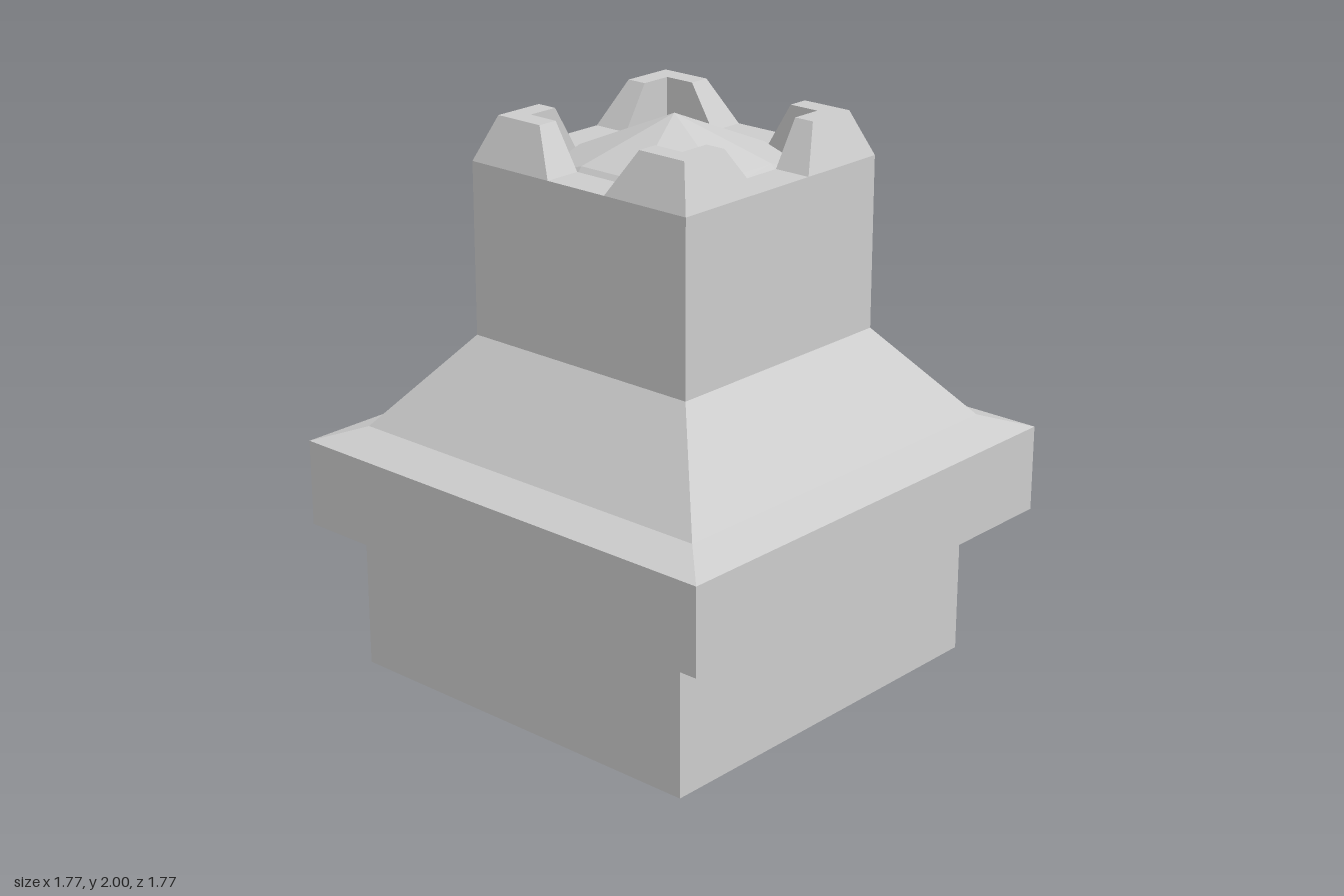
import * as THREE from 'three';

const material = new THREE.MeshStandardMaterial({ color: 0xcccccc, flatShading: true });

// Joins rings of [x, y, z] points (counter-clockwise from above, lowest first), with optional flat caps.
function loft(name, rings, { bottom = false, top = false } = {}) {
  const n = rings[0].length;
  const index = [];
  for (let r = 0; r < rings.length - 1; r++) {
    for (let i = 0; i < n; i++) {
      const j = (i + 1) % n;
      const a = r * n + i, b = r * n + j;
      index.push(a, b, b + n, a, b + n, a + n);
    }
  }
  const cap = (ring, offset, flip) => {
    const outline = ring.map(([x, , z]) => new THREE.Vector2(x, -z));
    for (const [a, b, c] of THREE.ShapeUtils.triangulateShape(outline, [])) {
      index.push(offset + a, offset + (flip ? c : b), offset + (flip ? b : c));
    }
  };
  if (bottom) cap(rings[0], 0, true);
  if (top) cap(rings.at(-1), (rings.length - 1) * n, false);

  const indexed = new THREE.BufferGeometry();
  indexed.setAttribute('position', new THREE.Float32BufferAttribute(rings.flat(2), 3));
  indexed.setIndex(index);
  const geometry = indexed.toNonIndexed();
  geometry.computeVertexNormals();
  const mesh = new THREE.Mesh(geometry, material);
  mesh.name = name;
  return mesh;
}

const square = (h, y) => [[h, y, h], [h, y, -h], [-h, y, -h], [-h, y, h]];

// Base outline with a doorway recess in the back: half width w, front and back z, recess half width n and depth z
const baseRing = (y, w, front, back, n, d) => [
  [w, y, front], [w, y, back], [n, y, back], [n, y, d],
  [-n, y, d], [-n, y, back], [-w, y, back], [-w, y, front],
];

// L-shaped corner battlement: outer face o, arm end a, inner face i
const merlonRing = (y, o, a, i) => [
  [o, y, o], [o, y, a], [i, y, a], [i, y, i], [a, y, i], [a, y, o],
];

// Square roof ring with two extra points on each side
function roofRing(h, m, yCorner, yMid) {
  const ring = [];
  let side = [[h, yCorner, h], [h, yMid, m], [h, yMid, -m]];
  for (let k = 0; k < 4; k++) {
    ring.push(...side);
    side = side.map(([x, y, z]) => [z, y, -x]);
  }
  return ring;
}

export function createModel() {
  const model = new THREE.Group();
  model.name = 'tower';

  // Base with flared top and rear doorway
  model.add(loft('base', [
    baseRing(0, 0.74, 0.69, -0.78, 0.235, -0.47),
    baseRing(0.465, 0.74, 0.69, -0.78, 0.235, -0.47),
    baseRing(0.55, 0.885, 0.885, -0.885, 0.18, -0.55),
  ], { bottom: true }));

  // Overhanging slab, sloped skirt, shaft and parapet sill
  model.add(loft('towerBody', [
    square(0.885, 0.55), square(0.885, 0.86), square(0.74, 0.91),
    square(0.473, 1.235), square(0.473, 1.845),
    square(0.335, 1.845), square(0.335, 1.77),
  ], { bottom: true }));

  // Corner battlements
  const battlements = new THREE.Group();
  battlements.name = 'battlements';
  for (let k = 0; k < 4; k++) {
    const merlon = loft('cornerBattlement', [
      merlonRing(1.77, 0.473, 0.125, 0.335),
      merlonRing(1.845, 0.473, 0.125, 0.335),
      merlonRing(2, 0.41, 0.22, 0.335),
    ], { top: true });
    merlon.rotation.y = k * Math.PI / 2;
    battlements.add(merlon);
  }
  model.add(battlements);

  // Faceted roof with a narrow steep eave
  model.add(loft('roof', [
    roofRing(0.337, 0.125, 1.775, 1.835),
    roofRing(0.315, 0.125, 1.8, 1.86),
    roofRing(0, 0, 2, 2),
  ]));

  return model;
}
